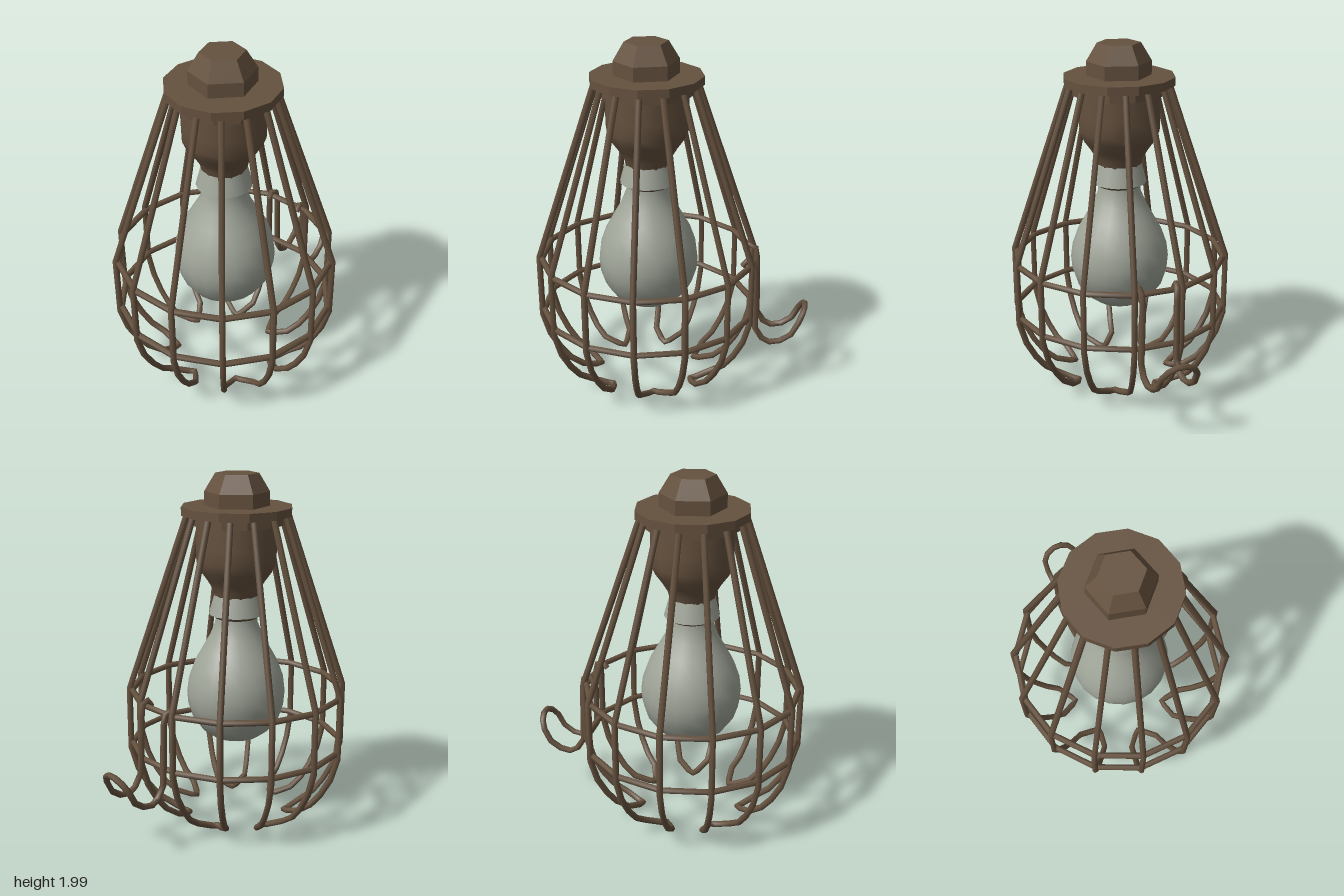
import * as THREE from 'three';
import { toCreasedNormals } from 'three/addons/utils/BufferGeometryUtils.js';

const BARS = 14;
const WIRE = 0.018;

// Polyline whose corners fall exactly on the tube's rings
class Polyline extends THREE.Curve {
  constructor(points, closed = false) {
    super();
    this.points = closed ? [...points, points[0]] : points;
  }
  getPoint(t, target = new THREE.Vector3()) {
    const n = this.points.length - 1;
    const i = Math.min(Math.floor(t * n), n - 1);
    return target.lerpVectors(this.points[i], this.points[i + 1], t * n - i);
  }
  getPointAt(t, target) { return this.getPoint(t, target); }
  getTangentAt(t, target) { return this.getTangent(t, target); }
}

// Point at a radius, height and angle (degrees) around the lamp's axis
function polar(r, y, deg) {
  const a = THREE.MathUtils.degToRad(deg);
  return new THREE.Vector3(r * Math.cos(a), y, r * Math.sin(a));
}

export function createModel() {
  const rust = new THREE.MeshStandardMaterial({ color: 0x66523f, side: THREE.DoubleSide });
  rust.name = 'rusty brown metal';
  const glass = new THREE.MeshStandardMaterial({ color: 0xa0a599, side: THREE.DoubleSide });
  glass.name = 'dusty grey glass';

  const model = new THREE.Group();
  model.name = 'cagedLamp';
  const lamp = new THREE.Group();
  lamp.name = 'lamp';
  lamp.position.z = 0.14;
  const cage = new THREE.Group();
  cage.name = 'cage';
  cage.position.z = 0.145;
  cage.rotation.y = THREE.MathUtils.degToRad(1.2);
  model.add(lamp, cage);

  const add = (parent, name, geometry, material) => {
    const mesh = new THREE.Mesh(geometry, material);
    mesh.name = name;
    parent.add(mesh);
    return mesh;
  };
  const lathe = (points, sides) =>
    new THREE.LatheGeometry(points.map(([r, y]) => new THREE.Vector2(r, y)), sides);
  const wire = (points, closed) => {
    const path = new Polyline(points, closed);
    return new THREE.TubeGeometry(path, path.points.length - 1, WIRE, 6, false);
  };

  // Hexagonal cable nut on top
  const hexStart = THREE.MathUtils.degToRad(16);
  const nut = (top, bottom, y0, y1) => toCreasedNormals(
    new THREE.CylinderGeometry(top, bottom, y1 - y0, 6, 1, false, hexStart)
      .translate(0, (y0 + y1) / 2, 0), 0.4);
  add(lamp, 'nutBase', nut(0.18, 0.18, 1.81, 1.9), rust);
  add(lamp, 'nutTop', nut(0.12, 0.18, 1.9, 2), rust);

  // Stepped cap holding the wires
  const disc = (r, y0, y1) => toCreasedNormals(
    new THREE.CylinderGeometry(r, r, y1 - y0, 12).translate(0, (y0 + y1) / 2, 0), 0.4);
  add(lamp, 'capFlange', disc(0.312, 1.775, 1.822), rust);
  add(lamp, 'capStep', disc(0.265, 1.725, 1.776), rust);

  // Socket tapering down to the bulb
  add(lamp, 'socket', lathe([
    [0.12, 1.3], [0.135, 1.36], [0.165, 1.41], [0.205, 1.465],
    [0.228, 1.52], [0.23, 1.6], [0.23, 1.73],
  ], 12), rust);

  // Glass collar, the metal ring under it, and the bulb
  add(lamp, 'collar', lathe([[0.155, 1.215], [0.125, 1.325]], 16), glass);
  add(lamp, 'collarRing', lathe([[0.108, 1.195], [0.122, 1.195], [0.122, 1.214], [0.15, 1.216]], 16), rust);
  add(lamp, 'bulb', lathe([
    [0, 0.468], [0.07, 0.472], [0.14, 0.495], [0.2, 0.54], [0.25, 0.61],
    [0.276, 0.69], [0.282, 0.76], [0.272, 0.84], [0.24, 0.93],
    [0.195, 1.01], [0.15, 1.09], [0.122, 1.16], [0.115, 1.22], [0.115, 1.31],
  ], 20), glass);

  // Each wire runs down one rib, turns at the bottom and climbs the next rib
  const rib = [
    [0.275, 1.79], [0.615, 0.78], [0.613, 0.42], [0.575, 0.29],
    [0.52, 0.19], [0.46, 0.115], [0.385, 0.065],
  ];
  const step = 360 / BARS;
  for (let i = 0; i < BARS / 2; i++) {
    const mid = 90 + i * 2 * step;
    const side = (s) => rib.map(([r, y]) => polar(r, y, mid + s * step / 2));
    const points = [
      ...side(-1), polar(0.31, 0.032, mid - 5), polar(0.285, 0.027, mid),
      polar(0.31, 0.032, mid + 5), ...side(1).reverse(),
    ];
    add(cage, 'ribPair' + (i + 1), wire(points), rust);
  }

  // Two hoops around the ribs
  for (const [name, y] of [['upperHoop', 0.77], ['lowerHoop', 0.45]]) {
    const points = [];
    for (let i = 0; i < BARS; i++) points.push(polar(0.602, y, 90 + (i + 0.5) * step));
    add(cage, name, wire(points, true), rust);
  }

  // Hanging hook clipped over the upper hoop at the back
  const hook = [
    [-0.12, 0.765, -0.405], [-0.12, 0.8, -0.43], [-0.115, 0.785, -0.465], [-0.11, 0.72, -0.477],
    [-0.108, 0.38, -0.485], [-0.112, 0.315, -0.525], [-0.118, 0.29, -0.57], [-0.122, 0.3, -0.63],
    [-0.128, 0.34, -0.69], [-0.128, 0.41, -0.727], [-0.1, 0.455, -0.75], [-0.05, 0.48, -0.762],
    [0, 0.48, -0.762], [0.045, 0.455, -0.75], [0.075, 0.41, -0.727], [0.08, 0.34, -0.69],
    [0.085, 0.3, -0.63], [0.09, 0.29, -0.57], [0.095, 0.315, -0.525], [0.096, 0.38, -0.485],
    [0.085, 0.72, -0.477], [0.09, 0.785, -0.465], [0.09, 0.8, -0.43], [0.09, 0.765, -0.405],
  ].map((p) => new THREE.Vector3(...p));
  add(model, 'hook', wire(hook).scale(1, 1, 1), rust);

  return model;
}
